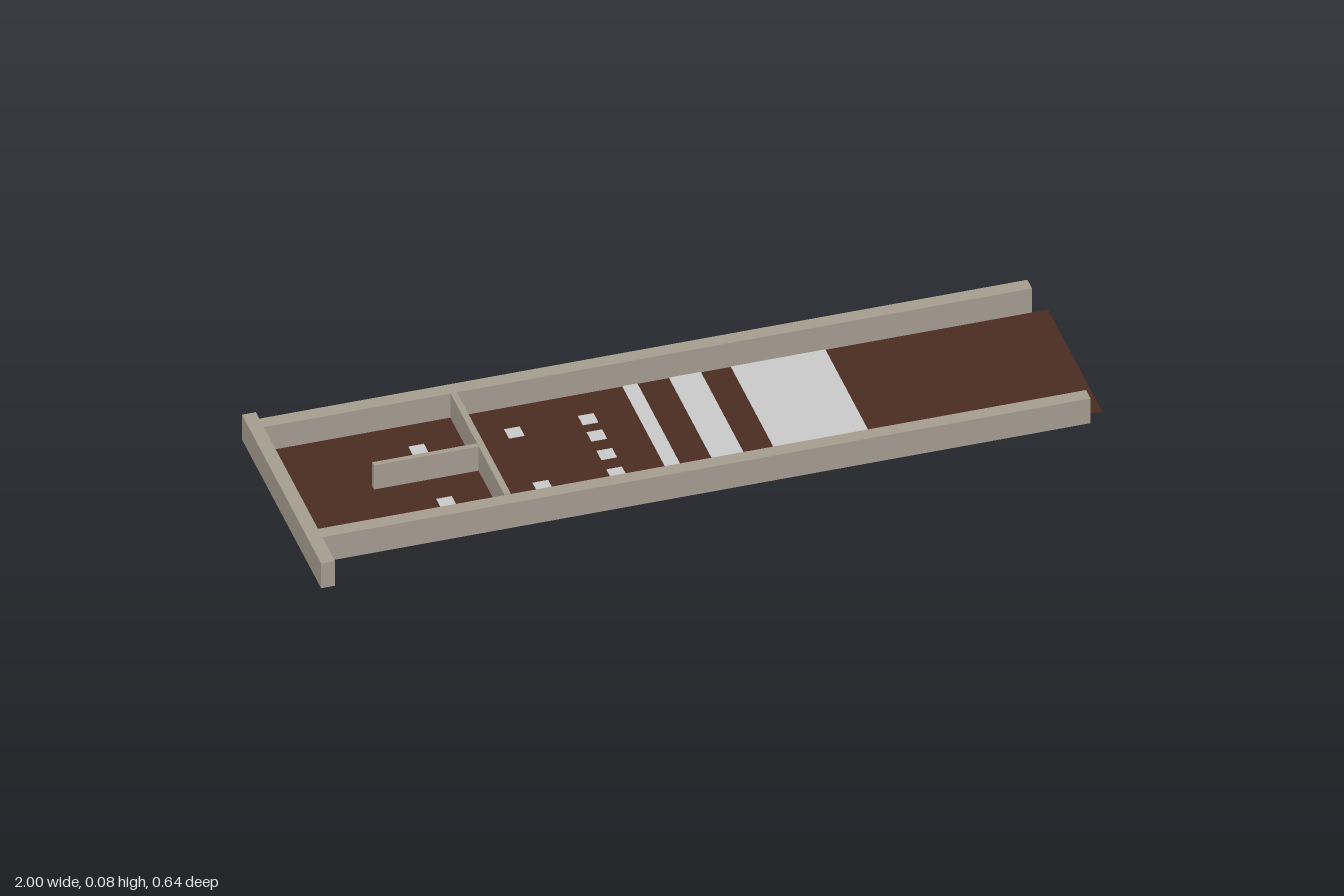
import * as THREE from 'three';

const stone = new THREE.MeshStandardMaterial({ color: 0xa69d90 });
stone.name = 'stone';
const brown = new THREE.MeshStandardMaterial({ color: 0x4a2b21 });
brown.name = 'darkBrown';
const pale = new THREE.MeshStandardMaterial({ color: 0xc9c9c9 });
pale.name = 'paleGrey';

const WALL_TOP = 0.073;
const FLOOR_TOP = 0.002;
const BACK = -0.255, FRONT = 0.182; // inner faces of the long walls

export function createModel() {
  const model = new THREE.Group();

  // Box given by its extents
  function block(name, material, x0, x1, z0, z1, y0 = 0, y1 = WALL_TOP) {
    const mesh = new THREE.Mesh(new THREE.BoxGeometry(x1 - x0, y1 - y0, z1 - z0), material);
    mesh.position.set((x0 + x1) / 2, (y0 + y1) / 2, (z0 + z1) / 2);
    mesh.name = name;
    model.add(mesh);
  }
  const marking = (name, x0, x1, z0, z1) =>
    block(name, pale, x0, x1, z0, z1, FLOOR_TOP, FLOOR_TOP + 0.0015);

  // Floor, running past the open end
  block('floor', brown, -0.965, 1, BACK, FRONT, 0, FLOOR_TOP);

  // Outer walls
  block('endWall', stone, -1, -0.965, -0.32, 0.32);
  block('backWall', stone, -0.965, 0.96, -0.292, BACK);
  block('frontWall', stone, -0.965, 0.96, FRONT, 0.218);

  // Inner partitions
  block('crossPartition', stone, -0.498, -0.482, BACK, FRONT, FLOOR_TOP, 0.075);
  block('centrePartition', stone, -0.76, -0.498, -0.041, -0.027, FLOOR_TOP, WALL_TOP);

  // Bands across the floor
  for (const [x0, x1] of [[-0.067, -0.029], [0.05, 0.13], [0.205, 0.442]]) {
    marking('floorBand', x0, x1, BACK, FRONT);
  }

  // Square floor markers, by row
  const rows = [[-0.61, [-0.15, 0.075]], [-0.37, [-0.15, 0.08]], [-0.185, [-0.15, -0.08, 0, 0.08]]];
  const h = 0.0195;
  for (const [x, zs] of rows) {
    for (const z of zs) marking('floorMarker', x - h, x + h, z - h, z + h);
  }

  return model;
}
